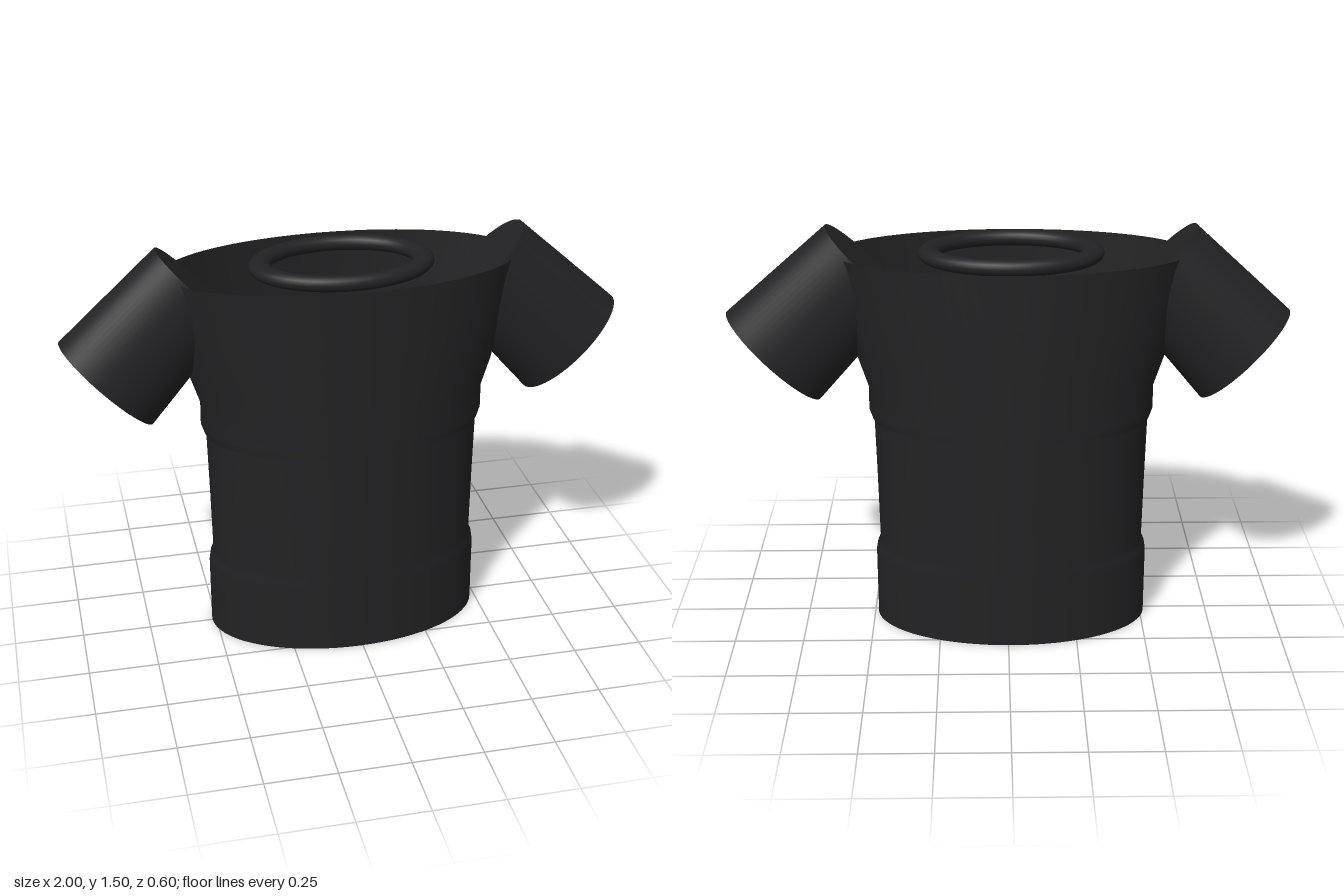
import * as THREE from 'three';
import { mergeVertices } from 'three/addons/utils/BufferGeometryUtils.js';

const CENTRE_X = -0.013;

export function createModel() {
  const model = new THREE.Group();
  model.name = 'shirt';
  const cloth = new THREE.MeshStandardMaterial({ color: 0x222224, side: THREE.DoubleSide });

  const add = (name, geometry, x, y) => {
    const mesh = new THREE.Mesh(geometry, cloth);
    mesh.name = name;
    mesh.position.set(x, y, 0);
    model.add(mesh);
  };

  // Torso: open oval tube whose width follows a profile while its depth barely changes
  const profile = [
    [0.502, 0], [0.502, 0.255], [0.497, 0.285], [0.486, 0.31], [0.49, 0.55],
    [0.495, 0.78], [0.503, 0.795], [0.513, 0.825], [0.512, 0.91],
    [0.548, 1.02], [0.585, 1.2], [0.626, 1.4],
  ].map(([r, y]) => new THREE.Vector2(r, y));
  const widthAt = new Map(profile.map((p) => [Math.fround(p.y), p.x]));
  let torso = new THREE.LatheGeometry(profile, 72);
  const pos = torso.attributes.position;
  for (let i = 0; i < pos.count; i++) {
    const y = pos.getY(i);
    const depth = 0.294 + 0.006 * y;
    pos.setZ(i, (pos.getZ(i) / widthAt.get(y)) * depth);
  }
  torso.deleteAttribute('uv');
  torso.deleteAttribute('normal');
  torso = mergeVertices(torso, 1e-4);
  torso.computeVertexNormals();
  add('torso', torso, CENTRE_X, 0);

  // Collar: oval ring set into the neck opening
  const collar = new THREE.TorusGeometry(0.288, 0.039, 20, 72);
  collar.rotateX(Math.PI / 2);
  collar.scale(1, 0.72, 0.69);
  add('collar', collar, CENTRE_X, 1.396);

  // Sleeves: capped, flattened cones angled down and outward at 45 degrees
  const addSleeve = (name, side, x, stretch) => {
    const sleeve = new THREE.CylinderGeometry(0.196, 0.228, 0.477, 64);
    sleeve.scale(1, 1, 0.64);
    sleeve.rotateZ((side * Math.PI) / 4);
    sleeve.scale(stretch, 1, 1);
    add(name, sleeve, x, 1.189);
  };
  addSleeve('leftSleeve', 1, 0.665, 1);
  addSleeve('rightSleeve', -1, -0.688, 0.955);

  return model;
}
